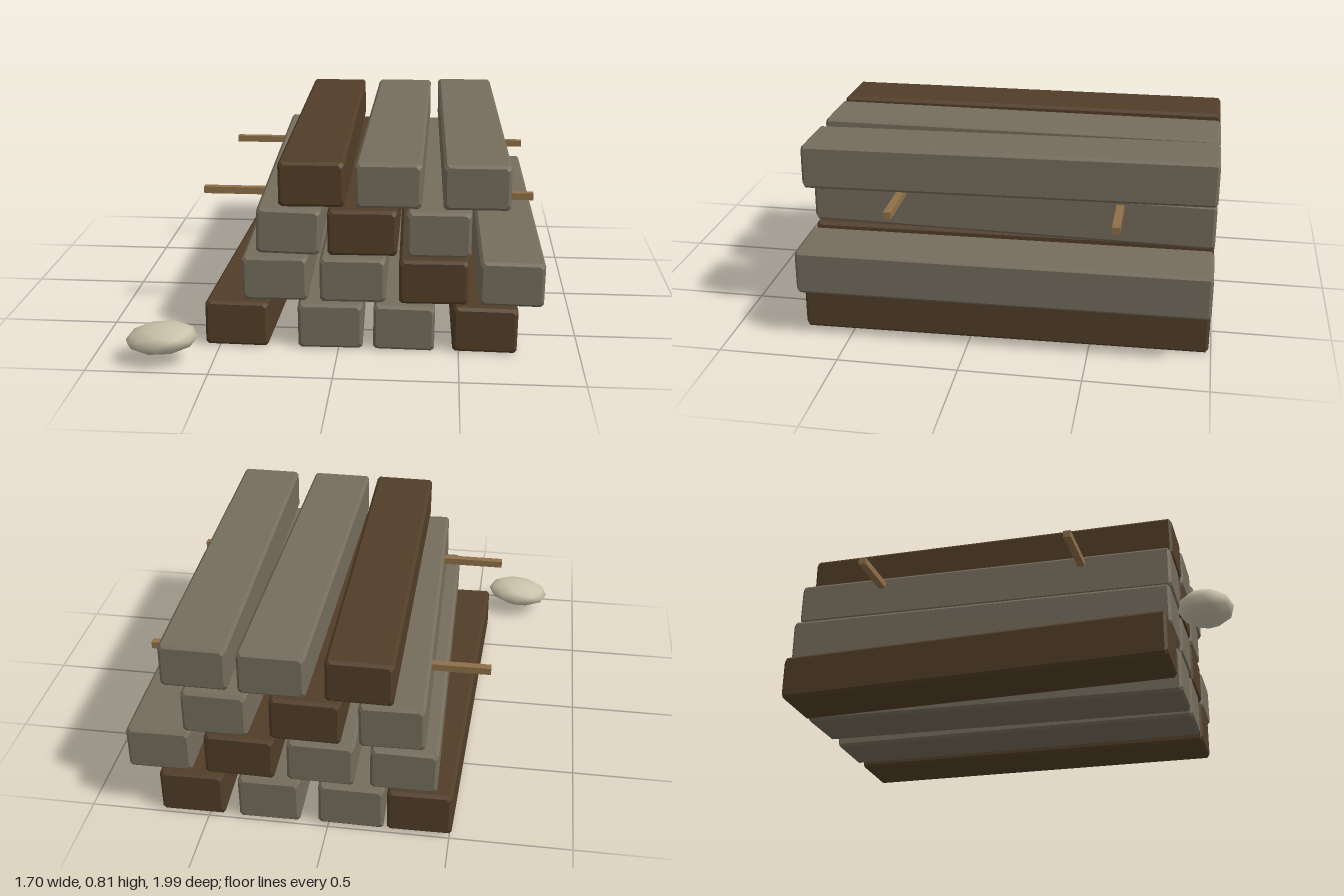
import * as THREE from 'three';
import { mergeVertices } from 'three/addons/utils/BufferGeometryUtils.js';

const mat = (name, color, extra = {}) => {
  const m = new THREE.MeshStandardMaterial({ color, ...extra });
  m.name = name;
  return m;
};

// Beam lofted from chamfered rectangles, slightly smaller at both ends
function beamGeometry(front, back, roll) {
  const zF = 0.71, zB = -0.99, bevel = 0.012;
  const ring = ([x0, x1, y0, y1], z, inset) => {
    const cx = (x0 + x1) / 2, cy = (y0 + y1) / 2;
    const w = (x1 - x0) / 2 - inset, h = (y1 - y0) / 2 - inset, c = 0.012;
    return [[w, c - h], [w, h - c], [w - c, h], [c - w, h],
      [-w, h - c], [-w, c - h], [c - w, -h], [w - c, -h]]
      .map(([x, y]) => [cx + x - y * roll, cy + y + x * roll, z]);
  };
  const rings = [ring(back, zB, bevel), ring(back, zB + bevel, 0),
    ring(front, zF - bevel, 0), ring(front, zF, bevel)];
  const pos = [];
  const tri = (a, b, c) => pos.push(...a, ...b, ...c);
  for (let r = 0; r < 3; r++) {
    for (let i = 0; i < 8; i++) {
      const j = (i + 1) % 8, A = rings[r], B = rings[r + 1];
      tri(A[i], A[j], B[j]);
      tri(A[i], B[j], B[i]);
    }
  }
  for (let i = 1; i < 7; i++) {
    tri(rings[3][0], rings[3][i], rings[3][i + 1]);
    tri(rings[0][0], rings[0][i + 1], rings[0][i]);
  }
  const g = new THREE.BufferGeometry();
  g.setAttribute('position', new THREE.Float32BufferAttribute(pos, 3));
  g.computeVertexNormals();
  return g;
}

export function createModel() {
  const group = new THREE.Group();
  group.name = 'timberStack';
  const grey = mat('weatheredWood', 0x756d5d);
  const brown = mat('darkWood', 0x523e28);
  const stick = mat('stickWood', 0x8f7048);
  const stone = mat('paleStone', 0xc8c0a8);

  // Each beam: colour, front left and right x, back shift in x and y, roll
  const rows = [
    { y0: 0.012, y1: 0.206, beams: [
      [brown, -0.56, -0.295, 0.052, 0.004, -0.01], [grey, -0.17, 0.1, -0.06, 0.004, 0.01],
      [grey, 0.145, 0.4, -0.027, 0, -0.01], [brown, 0.475, 0.742, -0.04, 0, -0.01]] },
    { y0: 0.22, y1: 0.408, beams: [
      [grey, -0.4, -0.128, -0.045, 0.005, 0.01], [grey, -0.078, 0.195, -0.03, 0.005, 0.01],
      [brown, 0.25, 0.535, -0.032, 0.004, 0.01], [grey, 0.58, 0.845, -0.02, 0.005, -0.01]] },
    { y0: 0.424, y1: 0.615, beams: [
      [grey, -0.338, -0.075, -0.052, 0.003, -0.02], [brown, -0.045, 0.24, -0.01, 0, 0.01],
      [grey, 0.278, 0.542, 0.042, 0, 0.005]] },
    { y0: 0.628, y1: 0.815, beams: [
      [brown, -0.245, 0.025, -0.02, 0, 0.01], [grey, 0.068, 0.338, 0.012, 0.003, 0.005],
      [grey, 0.425, 0.695, -0.036, 0.01, 0.005]] },
  ];
  for (const { y0, y1, beams } of rows) {
    for (const [m, x0, x1, dx, dy, roll] of beams) {
      const beam = new THREE.Mesh(
        beamGeometry([x0, x1, y0, y1], [x0 + dx, x1 + dx, y0 + dy, y1 + dy], roll), m);
      beam.name = 'beam';
      group.add(beam);
    }
  }

  // Spacer sticks running across the stack
  for (const z of [0.32, -0.6]) {
    const s = new THREE.Mesh(new THREE.BoxGeometry(1.43, 0.03, 0.032), stick);
    s.position.set(0.095, 0.58, z);
    s.name = 'spacerStick';
    group.add(s);
  }

  // Smooth flattened pebble, sheared upward toward the stack
  let g = new THREE.IcosahedronGeometry(1, 1);
  g.deleteAttribute('normal');
  g.deleteAttribute('uv');
  g = mergeVertices(g);
  const p = g.attributes.position;
  for (let i = 0; i < p.count; i++) {
    const x = p.getX(i), y = p.getY(i), z = p.getZ(i);
    p.setXYZ(i, x * 0.15, y * 0.063 + x * 0.012, z * 0.108);
  }
  g.computeVertexNormals();
  const pebble = new THREE.Mesh(g, stone);
  pebble.position.set(-0.705, 0.115, 0.887);
  pebble.name = 'pebble';
  group.add(pebble);
  return group;
}
